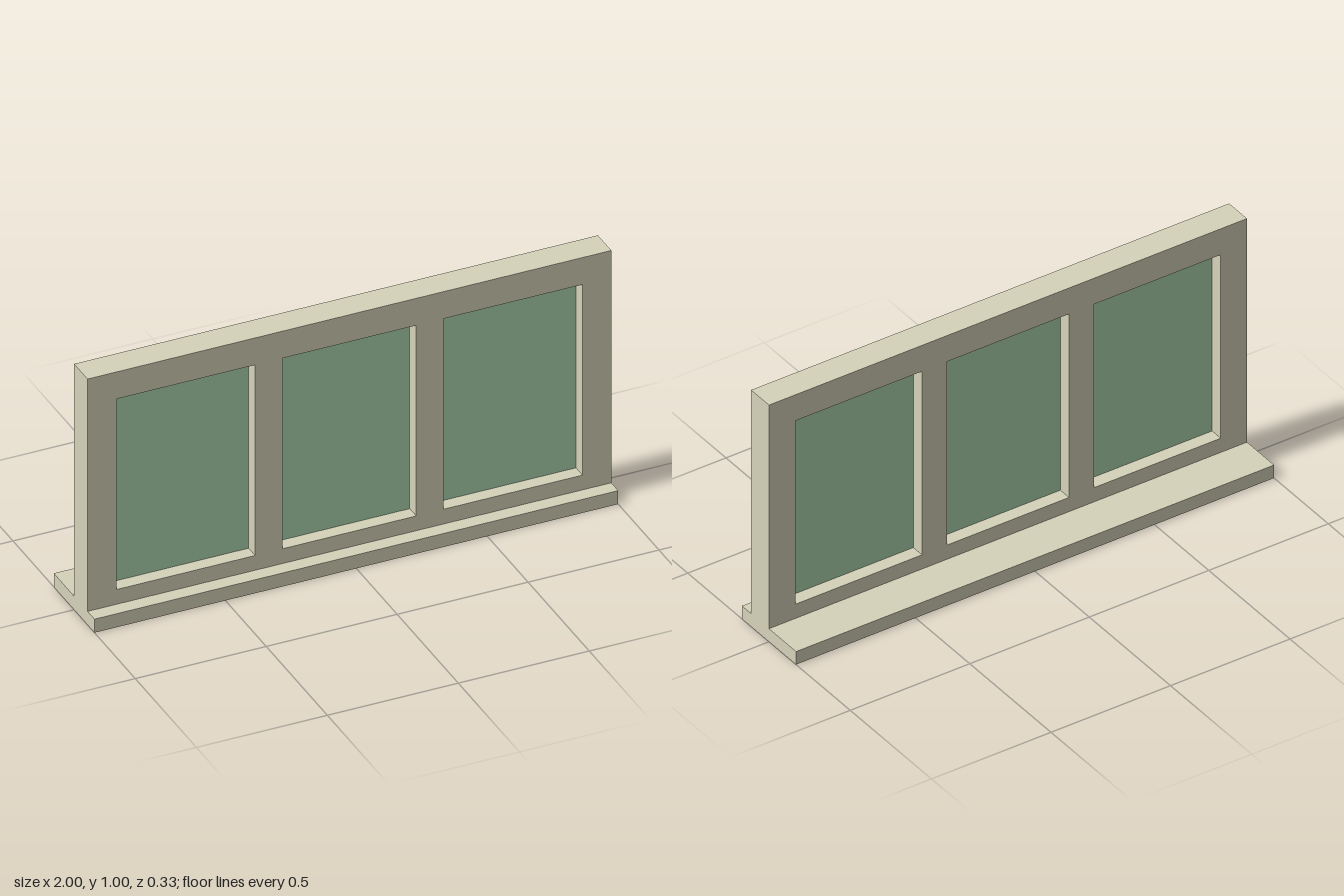
import * as THREE from 'three';

export function createModel() {
  const model = new THREE.Group();
  const frameMat = new THREE.MeshStandardMaterial({ color: 0xd6d3ba });
  const glassMat = new THREE.MeshStandardMaterial({ color: 0xadd7af });

  const sillTop = 0.055, depth = 0.11;
  const bottom = 0.115, top = 0.89;
  const openings = [[-0.89, -0.36], [-0.255, 0.255], [0.36, 0.89]];

  const add = (name, geometry, material, x, y, z) => {
    const mesh = new THREE.Mesh(geometry, material);
    mesh.name = name;
    mesh.position.set(x, y, z);
    model.add(mesh);
  };
  const rectangle = (path, x0, y0, x1, y1) =>
    path.moveTo(x0, y0).lineTo(x1, y0).lineTo(x1, y1).lineTo(x0, y1).closePath();

  // Sill, projecting further at the back than at the front
  add('sill', new THREE.BoxGeometry(2, sillTop, 0.333), frameMat, 0, sillTop / 2, 0);

  // Frame with three openings, set on the sill
  const outline = rectangle(new THREE.Shape(), -1, sillTop, 1, 1);
  for (const [x0, x1] of openings) {
    outline.holes.push(rectangle(new THREE.Path(), x0, bottom, x1, top));
  }
  add('frame', new THREE.ExtrudeGeometry(outline, { depth, bevelEnabled: false }), frameMat, 0, 0, 0);

  // Thin panes halfway through the frame
  openings.forEach(([x0, x1], i) => {
    add(['rightPane', 'middlePane', 'leftPane'][i],
      new THREE.BoxGeometry(x1 - x0, top - bottom, 0.004), glassMat,
      (x0 + x1) / 2, (bottom + top) / 2, depth / 2);
  });

  return model;
}
